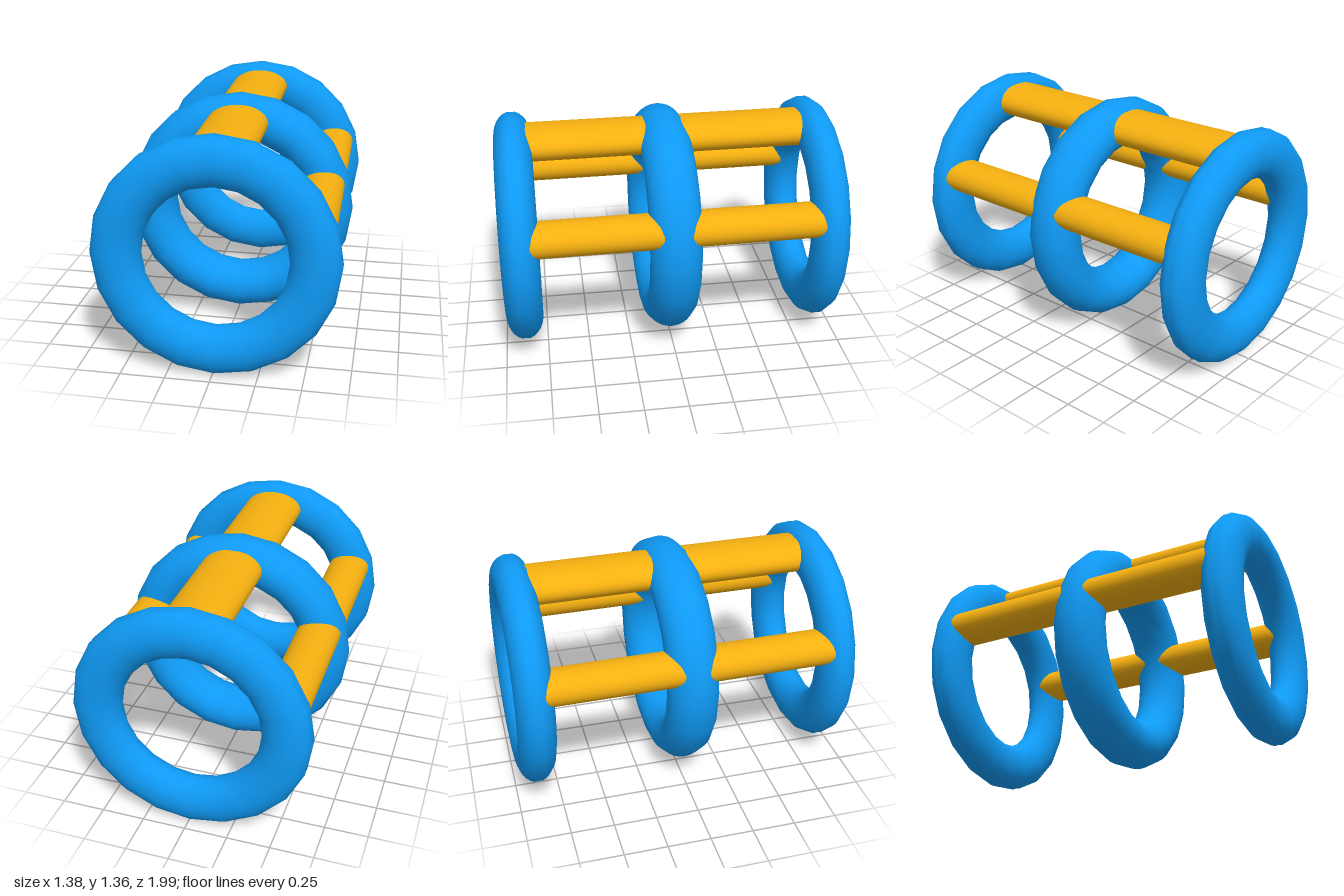
import * as THREE from 'three';

const CENTRE_Y = 0.685, RING = 0.54, TUBE = 0.14;

export function createModel() {
  const model = new THREE.Group();
  model.name = 'ringFrame';
  const blue = new THREE.MeshStandardMaterial({ color: 0x0f9af5 });
  const yellow = new THREE.MeshStandardMaterial({ color: 0xf5b010 });

  function add(name, geometry, material, x, y, z) {
    const mesh = new THREE.Mesh(geometry, material);
    mesh.name = name;
    mesh.position.set(x, y, z);
    model.add(mesh);
  }

  // End rings: 20 sides, oval section starting and ending at a shallow outer seam
  const steps = 28, profile = [];
  for (let i = 0; i <= steps; i++) {
    const a = (i / steps) * Math.PI * 2;
    const seam = i % steps === 0 ? 0.006 : 0;
    profile.push(new THREE.Vector2(RING + TUBE * Math.cos(a) - seam, 0.108 * Math.sin(a)));
  }
  const endRing = new THREE.LatheGeometry(profile, 20).rotateX(Math.PI / 2);
  add('frontRing', endRing, blue, 0, CENTRE_Y, 0.882);
  add('backRing', endRing, blue, 0, CENTRE_Y, -0.882);

  // Middle ring: thicker from front to back
  const middleRing = new THREE.TorusGeometry(RING, TUBE, 28, 20).scale(1, 1, 1.06);
  add('middleRing', middleRing, blue, 0, CENTRE_Y, 0.013);

  // Oval bars joining the rings
  const bar = (rx, ry) =>
    new THREE.CylinderGeometry(1, 1, 1.76, 32).rotateX(Math.PI / 2).scale(rx, ry, 1);
  add('topBar', bar(0.18, 0.098), yellow, 0.003, 1.22, 0);
  add('leftBar', bar(0.126, 0.098), yellow, 0.505, 0.848, 0);
  add('rightBar', bar(0.126, 0.098), yellow, -0.51, 0.848, 0);

  // The frame sits turned very slightly
  model.rotation.y = 0.014;
  return model;
}
